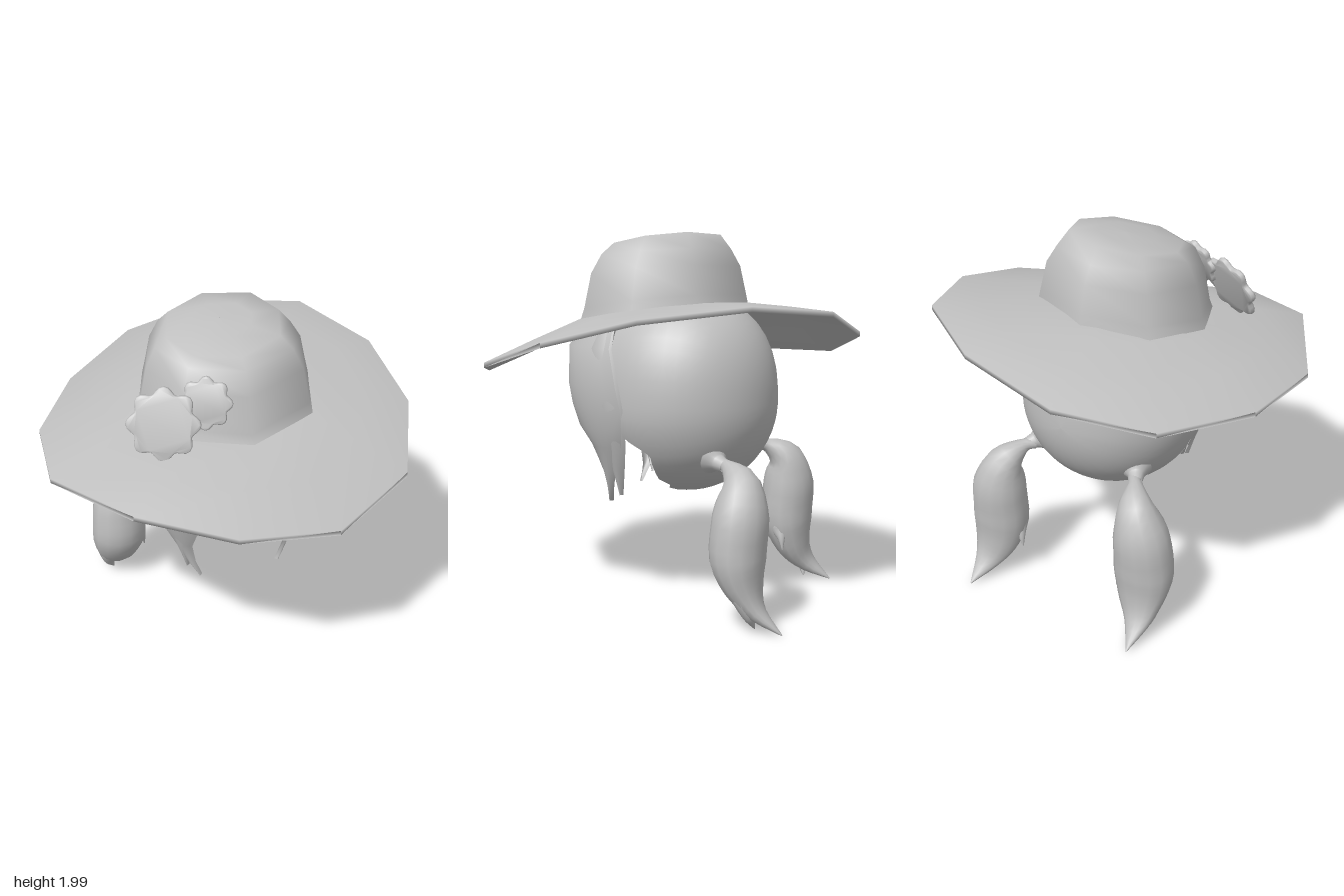
import * as THREE from 'three';
import { toCreasedNormals } from 'three/addons/utils/BufferGeometryUtils.js';

const clay = new THREE.MeshStandardMaterial({ color: 0xc0c0c0, side: THREE.DoubleSide });
clay.name = 'light grey';

const rad = THREE.MathUtils.degToRad;

// Skin a list of equally long rows of points; closed rows wrap around
function loft(rows, closed) {
  const n = rows[0].length, idx = [];
  for (let i = 0; i < rows.length - 1; i++) {
    for (let j = 0; j < (closed ? n : n - 1); j++) {
      const k = (j + 1) % n;
      const a = i * n + j, b = i * n + k, c = a + n, d = b + n;
      idx.push(a, c, b, b, c, d);
    }
  }
  const g = new THREE.BufferGeometry();
  g.setAttribute('position', new THREE.Float32BufferAttribute(rows.flat(2), 3));
  g.setIndex(idx);
  g.computeVertexNormals();
  return g;
}

function add(parent, name, geometry) {
  const m = new THREE.Mesh(geometry, clay);
  m.name = name;
  parent.add(m);
}

// Piecewise linear lookup in [[key, value], ...] with falling keys
function lookup(table, key) {
  for (let i = 0; i < table.length - 1; i++) {
    const [k0, v0] = table[i], [k1, v1] = table[i + 1];
    if (key >= k1) return v0 + (v1 - v0) * Math.min(1, Math.max(0, (k0 - key) / (k0 - k1)));
  }
  return table[table.length - 1][1];
}

// Wavy twelve-sided brim: outer corners x, y, z
const brimEdge = [
  [-0.22, 1.46, -1], [-0.64, 1.34, -0.75], [-0.92, 1.32, -0.29], [-0.97, 1.33, 0.2],
  [-0.69, 1.39, 0.73], [-0.26, 1.33, 0.99], [0.26, 1.25, 0.99], [0.74, 1.32, 0.74],
  [0.965, 1.45, 0.3], [0.965, 1.57, -0.2], [0.75, 1.63, -0.69], [0.3, 1.59, -0.97]];

function brimRing(scale, lift) {
  return brimEdge.map(([x, y, z]) => {
    const inner = 1.55 + 0.03 * x - 0.05 * z;
    const t = Math.max(0, (scale - 0.45) / 0.55);
    return [x * scale, inner + (y - inner) * t + lift, z * scale];
  });
}

// Eight-sided crown: outline x, z; then rings of scale, height, tilt in x, tilt in z
const crownOutline = [[0, -0.43], [-0.32, -0.3], [-0.44, 0.02], [-0.32, 0.32],
  [0, 0.485], [0.36, 0.35], [0.475, 0.03], [0.36, -0.28]];
const crownRings = [[1.04, 1.555, 0.05, -0.08], [1, 1.62, 0.07, -0.12], [0.92, 1.79, 0.06, -0.08],
  [0.8, 1.89, 0.04, -0.06], [0.66, 1.95, 0.1, -0.13], [0.35, 1.97, 0.09, -0.11], [0.001, 1.975, 0, 0]];

function makeHat() {
  const hat = new THREE.Group();
  hat.name = 'hat';
  const brim = [[0.3, 0.025], [0.5, 0.03], [0.75, 0.025], [1, 0.014],
    [1, -0.012], [0.75, -0.005], [0.5, -0.01], [0.25, -0.015]];
  add(hat, 'brim', loft(brim.map(([s, lift]) => brimRing(s, lift)), true));
  add(hat, 'crown', loft(crownRings.map(([s, y, tx, tz]) =>
    crownOutline.map(([x, z]) => [x * s, y + tx * x * s + tz * z * s, z * s])), true));
  return hat;
}

// Flower with eight small lobes, facing outward from the crown
function makeFlower(name, radius, pos, normal) {
  const pts = [];
  for (let i = 0; i < 64; i++) {
    const a = i / 64 * Math.PI * 2;
    const r = radius * (0.86 + 0.09 * Math.cos(a * 8));
    pts.push(new THREE.Vector2(r * Math.cos(a), r * Math.sin(a)));
  }
  const g = new THREE.ExtrudeGeometry(new THREE.Shape(pts), {
    depth: 0.01, bevelThickness: 0.012, bevelSize: 0.01, bevelSegments: 3 });
  const flower = new THREE.Group();
  flower.name = name;
  add(flower, 'petals', toCreasedNormals(g, 0.9));
  flower.position.set(...pos);
  flower.lookAt(pos[0] + normal[0], pos[1] + normal[1], pos[2] + normal[2]);
  return flower;
}

// Back hair: rounded shell around the -z pole, fuller above, open towards the face
function makeBackHair() {
  const rows = [], seg = 48, rings = 16;
  for (let i = 0; i <= rings; i++) {
    const row = [];
    for (let j = 0; j < seg; j++) {
      const phi = j / seg * Math.PI * 2, s = Math.sin(phi);
      let open = 95 + 29 * THREE.MathUtils.smoothstep(s, -0.48, -0.28);
      if (s < -0.8) open -= j % 2 ? 2 : 5;
      const th = Math.max(0.001, i / rings) * rad(open), up = Math.sin(th) * s;
      // The upper half swells towards a squarer dome
      const swell = up > 0 ? Math.pow(Math.pow(up, 2.4) + Math.pow(1 - up * up, 1.2), -1 / 2.4) : 1;
      const r = 0.5 * swell;
      row.push([0.02 + r * Math.sin(th) * Math.cos(phi),
        1.1 + (up > 0 ? 1.14 : 1) * r * up, -0.1 - r * Math.cos(th)]);
    }
    rows.push(row);
  }
  return loft(rows, true);
}

// Fringe locks follow a rounded surface; rows are height, start angle, end angle
const fringeRadius = [[1.54, 0.42], [1.42, 0.525], [1.25, 0.545], [1, 0.51], [0.8, 0.42], [0.55, 0.34]];
const locks = {
  rightFringe: [[1.54, -70, -14], [1.4, -74, -16], [1.22, -77, -21], [1.08, -77, -31], [0.95, -74, -38], [0.8, -66, -46], [0.67, -54, -46], [0.57, -43, -42]],
  rightSideStrand: [[1.54, -82, -62], [1.4, -86, -68], [1.2, -86, -70], [1.1, -84, -73], [1.03, -82, -81.5]],
  rightInnerStrand: [[1.1, -66, -48], [0.85, -64, -48], [0.73, -60, -51], [0.62, -55, -54]],
  middleFringe: [[1.54, -24, 14], [1.4, -22, 10], [1.22, -21, 1], [1.1, -10, 6], [1.03, 0, 9], [0.98, 11, 11.5]],
  leftFringe: [[1.54, -8, 66], [1.4, -4, 73], [1.2, 0, 78], [1.08, 11, 80], [0.97, 26, 79], [0.87, 40, 75], [0.72, 46, 62], [0.63, 47, 54], [0.55, 44, 45]],
  leftSideStrand: [[1.54, 50, 66], [1.4, 52, 74], [1.1, 60, 81], [0.9, 60, 79], [0.75, 57, 72], [0.6, 62, 63]]
};

function makeLock(table, lift) {
  return loft(table.map(([y, a0, a1]) => {
    const row = [];
    for (let j = 0; j <= 10; j++) {
      const t = j / 10, a = rad(a0 + (a1 - a0) * t);
      const r = lookup(fringeRadius, y) + lift + 0.025 * Math.sin(Math.PI * t);
      row.push([0.02 + r * 0.93 * Math.sin(a), y, r * Math.cos(a)]);
    }
    return row;
  }), false);
}

// Tapered hair tail from stations of x, y, z, half width, half depth
function makeTail(stations) {
  const curve = new THREE.CatmullRomCurve3(stations.map(s => new THREE.Vector3(s[0], s[1], s[2])));
  const size = new THREE.CatmullRomCurve3(stations.map(s => new THREE.Vector3(s[3], s[4], 0)));
  const rows = [], n = 24, side = new THREE.Vector3();
  for (let i = 0; i <= n; i++) {
    const p = curve.getPoint(i / n), w = size.getPoint(i / n), t = curve.getTangent(i / n);
    // Cross-section axes: one mostly sideways, one mostly front to back
    const depth = new THREE.Vector3(0, 0, 1).addScaledVector(t, -t.z).normalize();
    side.crossVectors(t, depth);
    const row = [];
    for (let j = 0; j < 14; j++) {
      const a = j / 14 * Math.PI * 2;
      const q = p.clone().addScaledVector(side, w.x * Math.cos(a)).addScaledVector(depth, w.y * Math.sin(a));
      row.push(q.toArray());
    }
    rows.push(row);
  }
  return loft(rows, true);
}

const tails = {
  gather: [[0.305, 0.835, -0.365, 0.085, 0.085], [0.33, 0.82, -0.4, 0.045, 0.045], [0.355, 0.81, -0.44, 0.033, 0.033]],
  tail: [[0.32, 0.81, -0.41, 0.03, 0.03], [0.355, 0.81, -0.45, 0.035, 0.035], [0.42, 0.735, -0.545, 0.1, 0.1],
    [0.465, 0.57, -0.56, 0.155, 0.145], [0.475, 0.38, -0.55, 0.165, 0.145], [0.485, 0.22, -0.59, 0.135, 0.1],
    [0.505, 0.11, -0.66, 0.08, 0.05], [0.525, 0.01, -0.8, 0.003, 0.003]],
  outerTip: [[0.52, 0.35, -0.56, 0.08, 0.08], [0.53, 0.18, -0.6, 0.07, 0.06], [0.53, 0.09, -0.63, 0.035, 0.03], [0.5, 0.02, -0.65, 0.003, 0.003]],
  innerTip: [[0.39, 0.45, -0.53, 0.06, 0.06], [0.36, 0.33, -0.54, 0.045, 0.05], [0.33, 0.27, -0.56, 0.02, 0.02], [0.315, 0.21, -0.57, 0.002, 0.002]]
};

export function createModel() {
  const model = new THREE.Group();
  model.name = 'sunHatAndHair';
  model.add(makeHat());
  model.add(makeFlower('largeFlower', 0.185, [-0.42, 1.64, 0.36], [-0.36, 0.38, 0.88]));
  model.add(makeFlower('smallFlower', 0.13, [-0.21, 1.73, 0.385], [-0.36, 0.38, 0.88]));

  const hair = new THREE.Group();
  hair.name = 'hair';
  model.add(hair);
  add(hair, 'backHair', makeBackHair());
  Object.entries(locks).forEach(([name, table], i) => add(hair, name, makeLock(table, i % 2 * -0.012)));

  // Pigtails mirrored about the head's middle
  for (const s of [1, -1]) {
    const pigtail = new THREE.Group();
    pigtail.name = s > 0 ? 'leftPigtail' : 'rightPigtail';
    for (const [name, st] of Object.entries(tails)) {
      add(pigtail, name, makeTail(st.map(([x, ...rest]) => [0.02 + s * x, ...rest])));
    }
    hair.add(pigtail);
  }
  return model;
}
